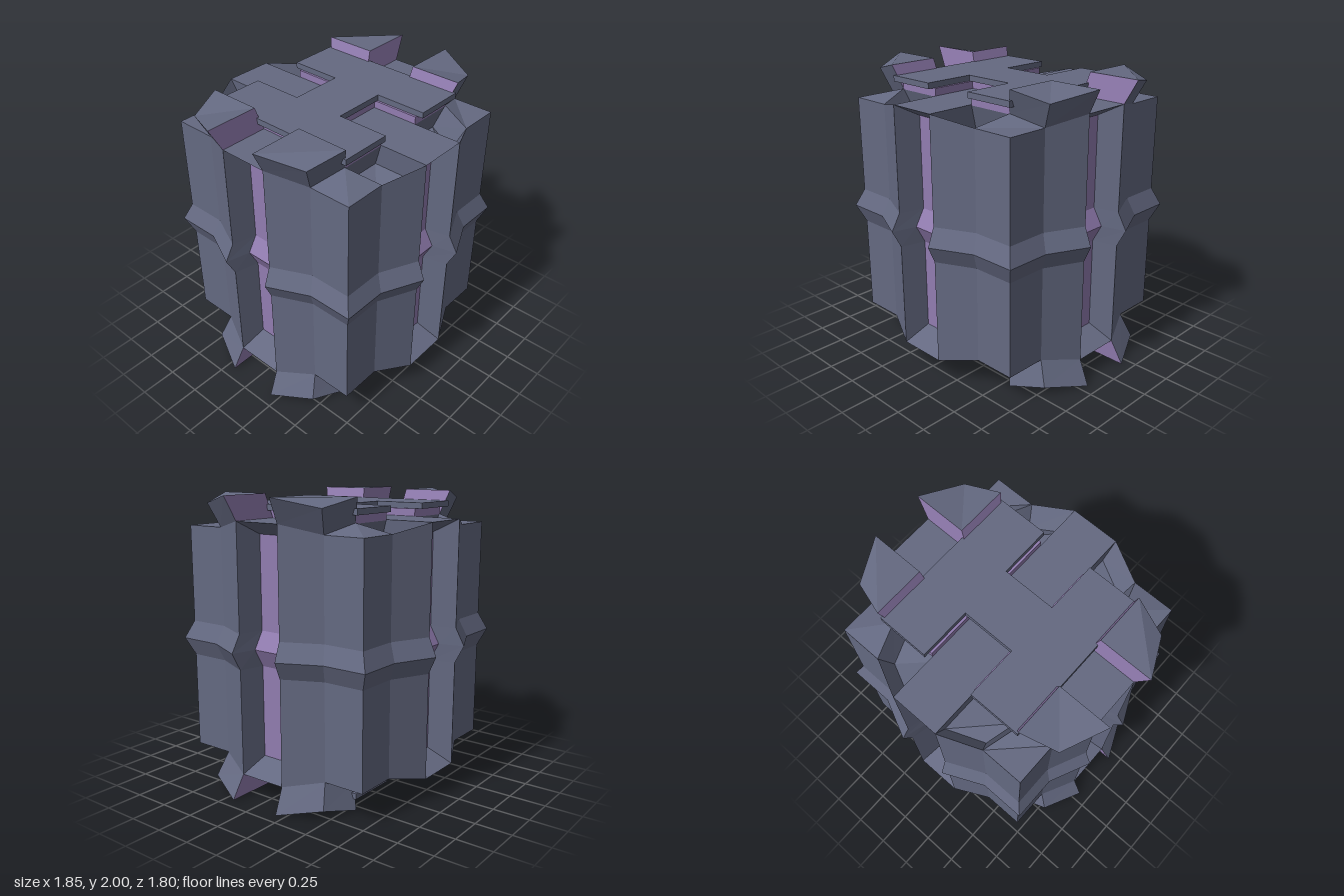
import * as THREE from 'three';

const grey = new THREE.MeshStandardMaterial({ color: 0x646981, flatShading: true });
const purple = new THREE.MeshStandardMaterial({ color: 0x917cb0, flatShading: true });

// Collects quads drawn in one octant (x, y, z >= 0) and mirrors them to all eight.
function octantPart(name, material, quads) {
  const pos = [];
  for (const sx of [1, -1]) for (const sy of [1, -1]) for (const sz of [1, -1]) {
    for (const q of quads) {
      const p = q.map(([x, y, z]) => [x * sx, y * sy + 1, z * sz]);
      if (sx * sy * sz < 0) p.reverse();
      pos.push(...p[0], ...p[1], ...p[2], ...p[0], ...p[2], ...p[3]);
    }
  }
  const geo = new THREE.BufferGeometry();
  geo.setAttribute('position', new THREE.Float32BufferAttribute(pos, 3));
  geo.computeVertexNormals();
  const mesh = new THREE.Mesh(geo, material);
  mesh.name = name;
  return mesh;
}

// Mirrors quads across the x = z diagonal, keeping them facing outward.
const swap = (quads) => quads.map((q) => q.map(([x, y, z]) => [z, y, x]).reverse());
const both = (quads) => [...quads, ...swap(quads)];

// Side quads between a loop and its raised (or sunken), scaled copy, plus the cap.
function extrudeLoop(loop, scale, dy) {
  const end = loop.map(([x, y, z]) => [x * scale, y + dy, z * scale]);
  const sides = loop.map((p, i) => {
    const j = (i + 1) % loop.length;
    return [p, loop[j], end[j], end[i]];
  });
  return { sides, cap: end };
}

// H-shaped slab lying flat, open towards +z and -z.
function hSlab(name, material, scale, y0, height) {
  const o = 0.5 * scale, n = 0.17 * scale;
  const outline = [[-o, -o], [-n, -o], [-n, -n], [n, -n], [n, -o], [o, -o],
    [o, o], [n, o], [n, n], [-n, n], [-n, o], [-o, o]];
  const shape = new THREE.Shape(outline.map(([x, y]) => new THREE.Vector2(x, y)));
  const geo = new THREE.ExtrudeGeometry(shape, { depth: height, bevelEnabled: false });
  geo.rotateX(-Math.PI / 2);
  const mesh = new THREE.Mesh(geo, material);
  mesh.name = name;
  mesh.position.y = y0;
  return mesh;
}

export function createModel() {
  const group = new THREE.Group();

  // Outline of one quadrant: x, z and height of the top edge
  const ring = [[0.17, 0.84, 0.84], [0.43, 0.72, 0.78], [0.72, 0.72, 0.78],
    [0.72, 0.43, 0.78], [0.84, 0.17, 0.84]];
  // Wall levels: bulging middle, end of the bulge, top edge
  const column = ([x, z, top]) => [[x * 1.07, 0, z * 1.07], [x, 0.12, z], [x, top, z]];
  const strip = (l, r) => [0, 1].map((i) => [l[i], r[i], r[i + 1], l[i + 1]]);

  const walls = [];
  for (let i = 0; i < 4; i++) walls.push(...strip(column(ring[i]), column(ring[i + 1])));
  group.add(octantPart('outerWalls', grey, walls));

  // Sunken channel up the middle of each side
  const inner = [[0.14, 0, 0.73], [0.13, 0.12, 0.67], [0.13, 0.75, 0.67]];
  const middle = inner.map(([, y, z]) => [0, y, z]);
  const lintel = [middle[2], inner[2], [0.17, 0.84, 0.84], [0, 0.84, 0.84]];
  group.add(octantPart('channelFrames', grey, both([...strip(inner, column(ring[0])), lintel])));
  group.add(octantPart('channelPanels', purple, both(strip(middle, inner))));

  // Flat rails and sloping corners of the top and bottom
  const [a, b, c, d] = ring.map(([x, z, y]) => [x, y, z]);
  const innerCorner = [0.5, 0.84, 0.5];
  const rail = [[0, 0.84, 0.17], [0, 0.84, 0.84], a, [0.17, 0.84, 0.17]];
  group.add(octantPart('endRails', grey, both([rail])));
  group.add(octantPart('endCorners', grey, [[b, c, d, innerCorner]]));

  // Pockets sunk along the front and back, horns raised along the left and right
  const loop = [a, b, innerCorner, [0.17, 0.84, 0.5]];
  const pocket = extrudeLoop(loop, 0.9, -0.16);
  group.add(octantPart('pockets', grey, [...pocket.sides, pocket.cap]));
  const horn = extrudeLoop(loop, 1.1, 0.16);
  group.add(octantPart('hornShells', grey, swap([horn.sides[0], horn.sides[1], horn.cap])));
  group.add(octantPart('hornInnerFaces', purple, swap([horn.sides[2], horn.sides[3]])));

  // H-shaped plates on purple spacers, top and bottom
  group.add(hSlab('topSpacer', purple, 1, 1.835, 0.055));
  group.add(hSlab('topPlate', grey, 1.09, 1.89, 0.04));
  group.add(hSlab('bottomSpacer', purple, 1, 0.11, 0.055));
  group.add(hSlab('bottomPlate', grey, 1.09, 0.07, 0.04));

  return group;
}
